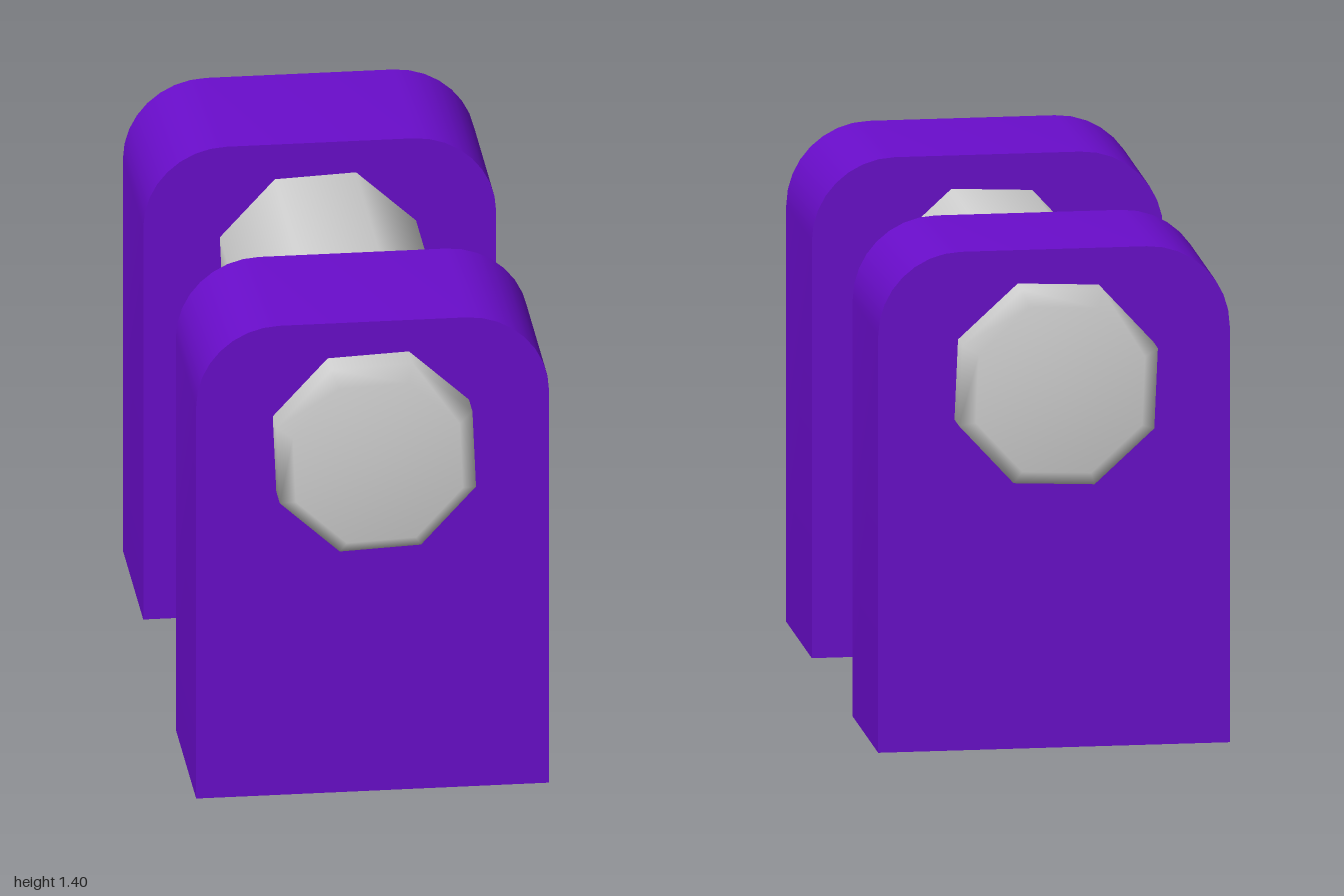
import * as THREE from 'three';
import { toCreasedNormals } from 'three/addons/utils/BufferGeometryUtils.js';

export function createModel() {
  const model = new THREE.Group();
  model.name = 'pinBracket';
  const purple = new THREE.MeshStandardMaterial({ color: 0x6a0dcc });
  purple.name = 'purple';
  const grey = new THREE.MeshStandardMaterial({ color: 0xd2d2d2 });
  grey.name = 'lightGrey';

  // Upright plate outline with two rounded top corners
  const w = 0.488, h = 1.4, r = 0.23;
  const outline = new THREE.Shape();
  outline.moveTo(-w, 0);
  outline.lineTo(w, 0);
  outline.lineTo(w, h - r);
  outline.absarc(w - r, h - r, r, 0, Math.PI / 2, false);
  outline.lineTo(-w + r, h);
  outline.absarc(-w + r, h - r, r, Math.PI / 2, Math.PI, false);
  outline.closePath();

  const depth = 0.487;
  const plate = toCreasedNormals(
    new THREE.ExtrudeGeometry(outline, { depth, bevelEnabled: false, curveSegments: 4 }),
    THREE.MathUtils.degToRad(40)
  );
  plate.translate(0, 0, -depth / 2);

  // Front and back uprights
  for (const [name, z] of [['frontUpright', 0.633], ['backUpright', -0.633]]) {
    const mesh = new THREE.Mesh(plate, purple);
    mesh.name = name;
    mesh.position.z = z;
    model.add(mesh);
  }

  // Eight-sided pin with bevelled ends, running front to back
  const profile = [[0, -1], [0.25, -1], [0.294, -0.96], [0.294, 0.96], [0.25, 1], [0, 1]]
    .map(([x, y]) => new THREE.Vector2(x, y));
  const pinGeometry = new THREE.LatheGeometry(profile, 8, THREE.MathUtils.degToRad(115));
  pinGeometry.rotateX(Math.PI / 2);
  const pin = new THREE.Mesh(pinGeometry, grey);
  pin.name = 'pin';
  pin.position.y = 1.03;
  model.add(pin);

  return model;
}
